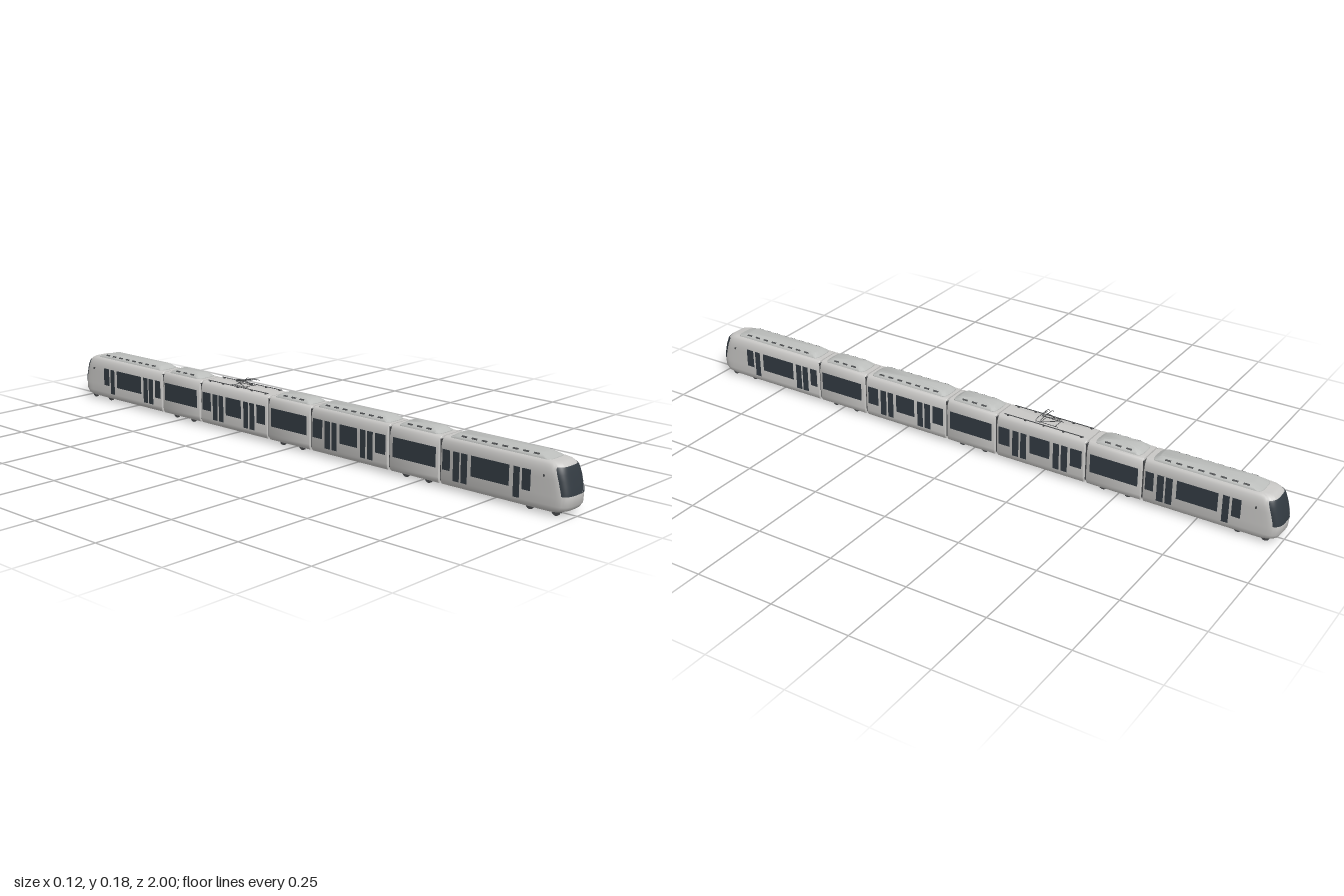
import * as THREE from 'three';
import { toCreasedNormals } from 'three/addons/utils/BufferGeometryUtils.js';

// body section: [height, half width, nose setback]
const BODY = [
  [0.012, 0.046, 0.025], [0.018, 0.05, 0.01], [0.03, 0.052, 0.002], [0.055, 0.052, 0],
  [0.07, 0.052, 0.002], [0.1, 0.052, 0.01], [0.116, 0.052, 0.015], [0.13, 0.0495, 0.02],
  [0.138, 0.0465, 0.026], [0.144, 0.043, 0.035], [0.147, 0.038, 0.045],
];
// roof pod section: [height, half width, end setback]
const POD = [[0.144, 0.037, 0], [0.149, 0.036, 0.001], [0.153, 0.032, 0.008], [0.158, 0.027, 0.016], [0.16, 0.023, 0.02]];
const NOSE_DEPTH = 0.05, NOSE_POWER = 0.6;

// rounded end outline, angle -PI/2..PI/2 with 0 pointing at +z
const endPoint = (a, w, z, depth, power) => [
  w * Math.sign(Math.sin(a)) * Math.abs(Math.sin(a)) ** power,
  z - depth + depth * Math.max(0, Math.cos(a)) ** power,
];

// stack of horizontal outlines with rounded ends, closed top and bottom
function loft(levels, back, front) {
  const n = 24, pos = [], idx = [], ring = 2 * (n + 1);
  for (const [y, w, s] of levels) {
    for (const [end, dir] of [[front, 1], [back, -1]]) {
      for (let i = 0; i <= n; i++) {
        const a = -Math.PI / 2 + Math.PI * i / n;
        const [x, z] = endPoint(a, w, end.z * dir - s * end.set, end.depth, end.power);
        pos.push(x * dir, y, z * dir);
      }
    }
  }
  const bottom = pos.length / 3, top = bottom + 1, mid = (front.z + back.z) / 2;
  pos.push(0, levels[0][0], mid, 0, levels.at(-1)[0], mid);
  const last = (levels.length - 1) * ring;
  for (let j = 0; j < ring; j++) {
    const k = (j + 1) % ring;
    for (let i = 0; i < levels.length - 1; i++) {
      const a = i * ring + j, b = i * ring + k;
      idx.push(a, b, b + ring, a, b + ring, a + ring);
    }
    idx.push(bottom, k, j, top, last + j, last + k);
  }
  const g = new THREE.BufferGeometry();
  g.setAttribute('position', new THREE.Float32BufferAttribute(pos, 3));
  g.setIndex(idx);
  return toCreasedNormals(g, 0.65);
}

const bodyLevel = (y) => {
  const i = Math.max(1, BODY.findIndex((l) => l[0] >= y));
  const [p, q] = [BODY[i - 1], BODY[i]], t = (y - p[0]) / (q[0] - p[0]);
  return [p[1] + (q[1] - p[1]) * t, p[2] + (q[2] - p[2]) * t];
};
// point just outside the nose surface
const nosePoint = (a, y, off) => {
  const [w, s] = bodyLevel(y);
  const [x, z] = endPoint(a, w, 1 - s, NOSE_DEPTH, NOSE_POWER);
  return [x * (1 + off * 12), y, z + off];
};

function windscreenGeometry() {
  const ys = [0.06, 0.07, 0.085, 0.1, 0.116, 0.13, 0.135], n = 48, pos = [], idx = [];
  ys.forEach((y, r) => {
    const lim = r === ys.length - 1 ? 1.05 : 1.15;
    for (let i = 0; i <= n; i++) {
      pos.push(...nosePoint(lim * (2 * i / n - 1), y, 0.0015));
      if (r && i) {
        const d = r * (n + 1) + i, c = d - 1, b = d - n - 1, a = b - 1;
        idx.push(a, b, d, a, d, c);
      }
    }
  });
  const g = new THREE.BufferGeometry();
  g.setAttribute('position', new THREE.Float32BufferAttribute(pos, 3));
  g.setIndex(idx);
  g.computeVertexNormals();
  return g;
}

export function createModel() {
  const tram = new THREE.Group();
  tram.name = 'tram';
  const material = (name, color, extra = {}) => {
    const m = new THREE.MeshStandardMaterial({ color, ...extra });
    m.name = name;
    return m;
  };
  const paint = material('lightGreyPaint', 0xc9c8c6);
  const roofGrey = material('roofGrey', 0xbcbebc);
  const glass = material('darkGlass', 0x333b42, { side: THREE.DoubleSide });
  const dark = material('darkGrey', 0x4a4c4e);
  const steel = material('steel', 0x8b8d8f);

  const add = (parent, name, geo, mat, x = 0, y = 0, z = 0) => {
    const m = new THREE.Mesh(geo, mat);
    m.name = name;
    m.position.set(x, y, z);
    parent.add(m);
    return m;
  };
  const box = (parent, name, mat, w, h, d, x, y, z) =>
    add(parent, name, new THREE.BoxGeometry(w, h, d), mat, x, y, z);
  const rod = (parent, name, mat, r, ...pts) => {
    const path = new THREE.CurvePath();
    const v = pts.map((p) => new THREE.Vector3(...p));
    for (let i = 1; i < v.length; i++) path.add(new THREE.LineCurve3(v[i - 1], v[i]));
    return add(parent, name, new THREE.TubeGeometry(path, (v.length - 1) * 4, r, 6), mat);
  };

  // seven body sections with bellows between them
  const joints = [-1, -0.582, -0.397, -0.09, 0.09, 0.397, 0.582, 1];
  const bodyEnd = (z) => Math.abs(z) === 1
    ? { z, depth: NOSE_DEPTH, power: NOSE_POWER, set: 1 }
    : { z, depth: 0.006, power: 0.4, set: 0 };
  for (let i = 0; i < 7; i++) {
    const [a, b] = [joints[i], joints[i + 1]];
    const back = bodyEnd(i ? a + 0.002 : a), front = bodyEnd(i < 6 ? b - 0.002 : b);
    add(tram, 'bodySection', loft(BODY, back, front), paint);
    if (i) box(tram, 'bellows', dark, 0.09, 0.12, 0.024, 0, 0.08, a);
  }

  // roof pods with vents along both slopes
  const pods = [[-0.935, -0.6], [-0.567, -0.415], [-0.078, 0.078], [0.102, 0.385], [0.415, 0.567], [0.6, 0.935]];
  for (const [a, b] of pods) {
    const end = (z) => ({ z, depth: 0.018, power: 0.6, set: Math.abs(z) > 0.9 ? 2 : 1 });
    add(tram, 'roofPod', loft(POD, end(a), end(b)), roofGrey);
    const count = Math.round((b - a - 0.05) / 0.034);
    for (let k = 0; k < count; k++) {
      const z = (a + b) / 2 + (k - (count - 1) / 2) * 0.034;
      for (const s of [-1, 1]) {
        box(tram, 'roofVent', dark, 0.005, 0.001, 0.018, s * 0.0297, 0.1558, z).rotation.z = -s * 0.785;
      }
    }
  }

  // side glazing: [centre, length, bottom], the same on both sides
  const panes = [];
  const span = (a, b, low = 0.056) => panes.push([(a + b) / 2, Math.abs(b - a), low]);
  for (const s of [-1, 1]) {
    span(s * 0.885, s * 0.858);
    span(s * 0.85, s * 0.83, 0.03);
    span(s * 0.816, s * 0.69);
    span(s * 0.677, s * 0.656, 0.03);
    span(s * 0.65, s * 0.629, 0.03);
    span(s * 0.618, s * 0.592);
    span(s * 0.568, s * 0.413);
    const c = s * 0.243;
    span(c - 0.034, c + 0.034);
    for (const t of [-1, 1]) {
      span(c + t * 0.046, c + t * 0.066, 0.03);
      span(c + t * 0.073, c + t * 0.094, 0.03);
      span(c + t * 0.104, c + t * 0.142);
    }
  }
  span(-0.075, 0.075);
  for (const [z, len, low] of panes) {
    for (const s of [-1, 1]) {
      box(tram, low < 0.05 ? 'doorGlass' : 'sideWindow', glass, 0.0016, 0.115 - low, len, s * 0.052, (0.115 + low) / 2, z);
    }
  }

  // the two cab ends: windscreen, wiper, mirrors
  for (const turn of [0, Math.PI]) {
    const cab = new THREE.Group();
    cab.name = turn ? 'rearCab' : 'frontCab';
    cab.rotation.y = turn;
    tram.add(cab);
    add(cab, 'windscreen', windscreenGeometry(), glass);
    const wiper = [];
    for (let i = 0; i <= 6; i++) wiper.push(nosePoint(0.18 + 0.11 * i, 0.06 + 0.01 * i, 0.0018));
    rod(cab, 'wiper', steel, 0.0005, ...wiper);
    for (const s of [-1, 1]) {
      rod(cab, 'mirrorArm', dark, 0.0007, [s * 0.051, 0.111, 0.928], [s * 0.058, 0.111, 0.93]);
      box(cab, 'mirror', dark, 0.003, 0.006, 0.004, s * 0.0585, 0.11, 0.93);
    }
  }

  // bogies
  for (const z of [-0.915, -0.49, 0, 0.49, 0.915]) {
    const bogie = new THREE.Group();
    bogie.name = 'bogie';
    bogie.position.z = z;
    tram.add(bogie);
    box(bogie, 'bogieFrame', dark, 0.044, 0.006, 0.05, 0, 0.0115, 0);
    for (const dz of [-0.041, 0.041]) {
      rod(bogie, 'axle', steel, 0.002, [-0.033, 0.0125, dz], [0.033, 0.0125, dz]);
      for (const s of [-1, 1]) {
        const wheel = add(bogie, 'wheel', new THREE.CylinderGeometry(0.013, 0.013, 0.005, 24), dark, s * 0.033, 0.013, dz);
        wheel.rotation.z = Math.PI / 2;
        box(bogie, 'trackBrake', dark, 0.003, 0.006, 0.02, s * 0.021, 0.009, dz);
      }
    }
  }

  // roof rails and equipment on the section without a pod
  for (const s of [-1, 1]) {
    box(tram, 'roofRail', dark, 0.002, 0.002, 0.27, s * 0.031, 0.151, -0.243);
    for (const z of [-0.37, -0.31, -0.243, -0.18, -0.12]) {
      box(tram, 'railFoot', dark, 0.004, 0.005, 0.006, s * 0.031, 0.1485, z);
    }
  }

  // pantograph
  const panto = new THREE.Group();
  panto.name = 'pantograph';
  tram.add(panto);
  for (const z of [-0.275, -0.225]) rod(panto, 'baseBar', dark, 0.001, [-0.022, 0.15, z], [0.022, 0.15, z]);
  for (const s of [-1, 1]) {
    rod(panto, 'baseSide', dark, 0.001, [s * 0.018, 0.15, -0.285], [s * 0.018, 0.15, -0.21]);
    rod(panto, 'arm', dark, 0.001, [s * 0.018, 0.151, -0.225], [s * 0.006, 0.163, -0.28], [s * 0.01, 0.17, -0.225]);
  }
  rod(panto, 'elbow', dark, 0.001, [-0.007, 0.163, -0.28], [0.007, 0.163, -0.28]);
  rod(panto, 'guide', dark, 0.0008, [-0.018, 0.169, -0.228], [0, 0.177, -0.23], [0.018, 0.169, -0.228]);
  for (const z of [-0.235, -0.221]) {
    rod(panto, 'collector', dark, 0.001, [-0.043, 0.161, z], [-0.036, 0.167, z], [-0.025, 0.169, z],
      [0.025, 0.169, z], [0.036, 0.167, z], [0.043, 0.161, z]);
  }
  return tram;
}
